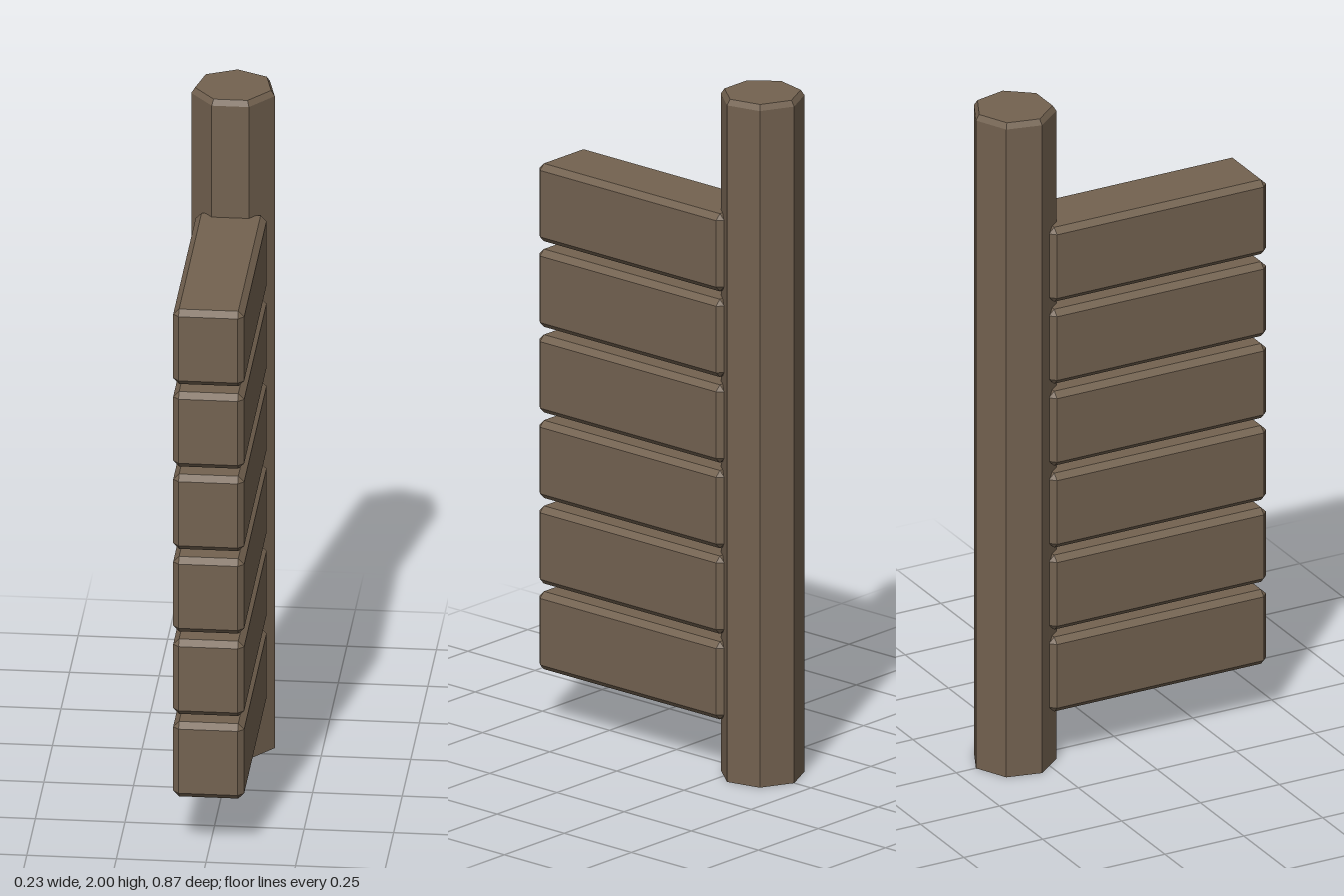
import * as THREE from 'three';
import { ConvexGeometry } from 'three/addons/geometries/ConvexGeometry.js';

// Box with every edge bevelled flat
function chamferedBox(w, h, d, c) {
  const points = [];
  for (const sx of [-1, 1]) for (const sy of [-1, 1]) for (const sz of [-1, 1]) {
    const x = sx * w / 2, y = sy * h / 2, z = sz * d / 2;
    points.push(
      new THREE.Vector3(x, y - sy * c, z - sz * c),
      new THREE.Vector3(x - sx * c, y, z - sz * c),
      new THREE.Vector3(x - sx * c, y - sy * c, z));
  }
  return new ConvexGeometry(points);
}

export function createModel() {
  const model = new THREE.Group();
  model.name = 'plankFence';
  const wood = new THREE.MeshStandardMaterial({ color: 0x736250, flatShading: true });
  wood.name = 'brown wood';

  // Seven-sided post with a bevelled top, one corner facing the back
  const profile = [[0, 0], [0.1195, 0], [0.1195, 1.984], [0.109, 2], [0, 2]]
    .map(([r, y]) => new THREE.Vector2(r, y));
  const post = new THREE.Mesh(new THREE.LatheGeometry(profile, 7, Math.PI), wood);
  post.name = 'post';
  post.position.z = -0.318;
  model.add(post);

  // Stack of six planks running forward from the post
  const plankGeometry = chamferedBox(0.198, 0.228, 0.688, 0.0165);
  for (let i = 0; i < 6; i++) {
    const plank = new THREE.Mesh(plankGeometry, wood);
    plank.name = `plank${i + 1}`;
    plank.position.set(0, 0.276 + i * 0.251, 0.093);
    model.add(plank);
  }
  return model;
}
